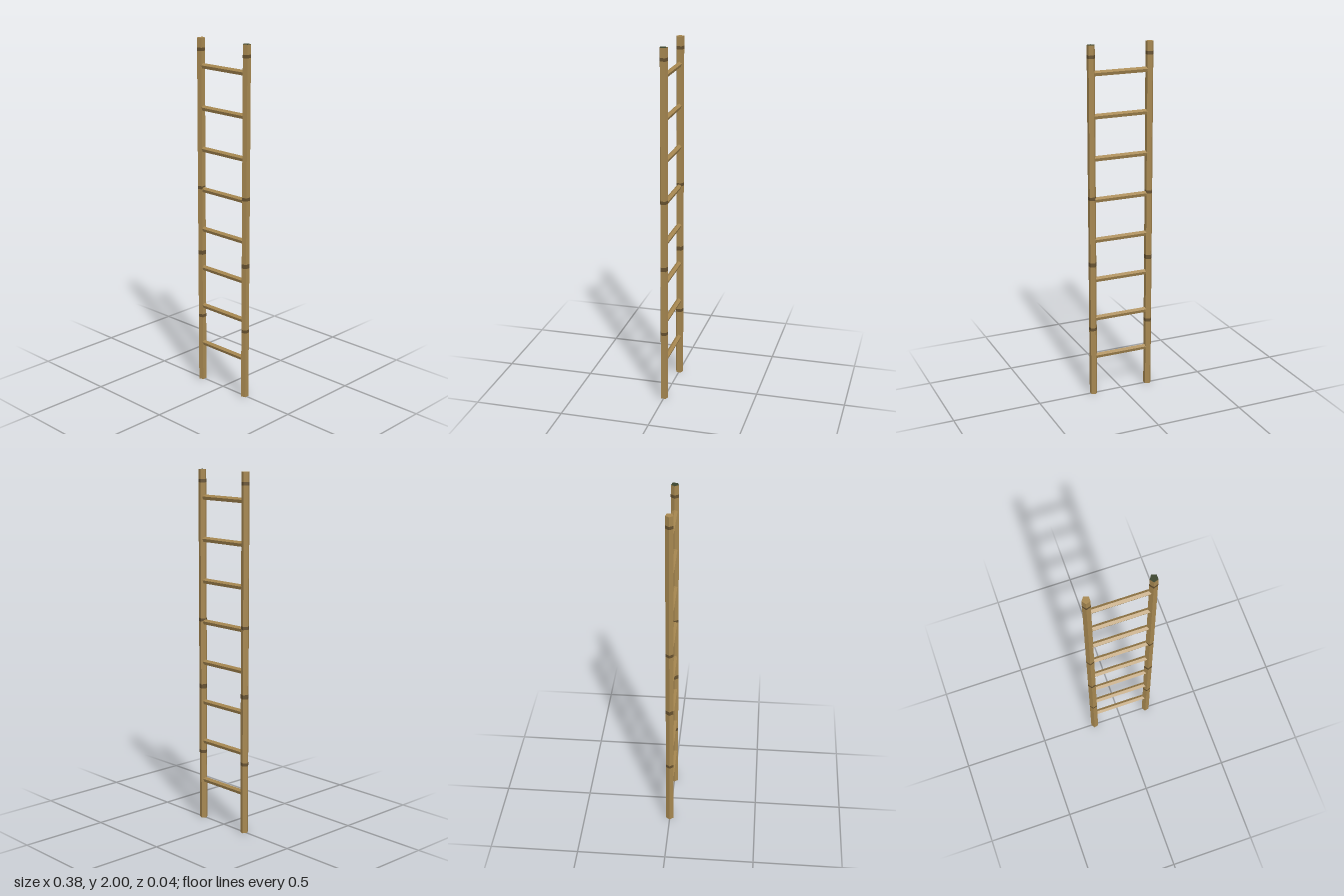
import * as THREE from 'three';

const paint = (name, color) => {
  const m = new THREE.MeshStandardMaterial({ color, flatShading: true });
  m.name = name;
  return m;
};

export function createModel() {
  const bamboo = paint('bamboo', 0xa68750);
  const jointBrown = paint('joint brown', 0x66512f);
  const darkEnd = paint('dark green end', 0x3a432c);

  const group = new THREE.Group();
  group.name = 'ladder';

  const add = (parent, name, geometry, material, x, y) => {
    const mesh = new THREE.Mesh(geometry, material);
    mesh.name = name;
    mesh.position.set(x, y, 0);
    parent.add(mesh);
  };

  // Five-sided poles, each with a corner towards -x
  const radius = 0.0225;
  const poleGeometry = new THREE.CylinderGeometry(radius, radius, 2, 5, 1, false, -Math.PI / 2);
  const bandGeometry = (height) => new THREE.CylinderGeometry(
    radius + 0.0004, radius + 0.0004, height, 5, 1, true, -Math.PI / 2);
  const joints = [[0.4, 0.018], [0.785, 0.024], [1.167, 0.018], [1.938, 0.018]];

  for (const [side, x, topEnd] of [['right', -0.1674, bamboo], ['left', 0.1714, darkEnd]]) {
    const rail = new THREE.Group();
    rail.name = side + 'Rail';
    rail.position.x = x;
    // Material order: sides, top end, bottom end
    add(rail, side + 'Pole', poleGeometry, [bamboo, topEnd, darkEnd], 0, 1);
    for (const [y, height] of joints) {
      add(rail, side + 'JointBand', bandGeometry(height), jointBrown, 0, y);
    }
    group.add(rail);
  }

  // Five-sided rungs with a ridge along the top
  const rungGeometry = new THREE.CylinderGeometry(0.0155, 0.0155, 0.316, 5, 1, false, Math.PI / 2);
  rungGeometry.rotateZ(Math.PI / 2);
  for (let i = 0; i < 8; i++) {
    add(group, 'rung', rungGeometry, bamboo, 0, 0.231 * (i + 1));
  }

  return group;
}
